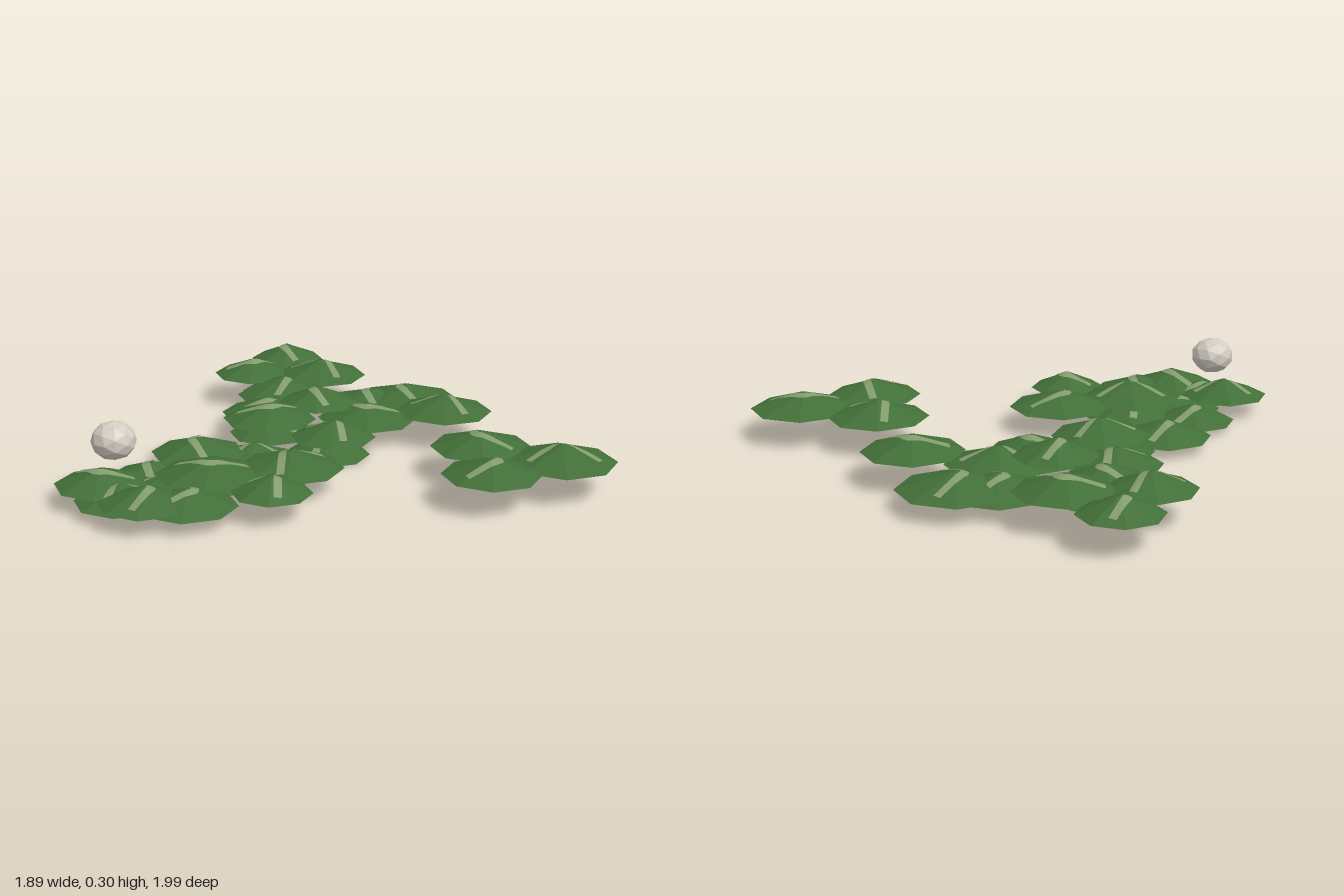
import * as THREE from 'three';

const leafGreen = new THREE.MeshStandardMaterial({ name: 'leafGreen', color: 0x426f38, flatShading: true, side: THREE.DoubleSide });
const veinGreen = new THREE.MeshStandardMaterial({ name: 'veinGreen', color: 0x829b6d, side: THREE.DoubleSide });
const pearlGrey = new THREE.MeshStandardMaterial({ name: 'pearlGrey', color: 0xd3ccc2, flatShading: true });

const RISE = 0.064;

// Layers of pads by rim height; each pad is x, z, radius, direction its vein opens towards (degrees)
const LAYERS = [
  { rim: 0.114, pads: [
    [0.43, 0.49, 0.19, 12], [0.24, 0.715, 0.18, -113], [0.535, 0.79, 0.2, 132],
    [0.4, -0.78, 0.16, -72], [0.65, -0.85, 0.15, 43], [0.6, -0.58, 0.185, 168],
    [0.635, 0.1, 0.187, 164], [0.34, -0.31, 0.155, 47], [0.06, -0.28, 0.18, -65]] },
  { rim: 0.087, pads: [
    [0.38, -0.57, 0.165, -150], [-0.46, 0, 0.2, -43], [-0.19, 0.13, 0.195, 80], [-0.41, 0.28, 0.145, 187]] },
  { rim: 0.069, pads: [
    [0.73, -0.2, 0.21, 48], [0.44, -0.13, 0.195, -30], [0.18, -0.45, 0.17, -90],
    [-0.775, 0.03, 0.17, -144], [-0.78, -0.22, 0.17, -30]] },
  { rim: 0.053, pads: [
    [0.62, -0.29, 0.2, 60], [0.22, -0.09, 0.165, 180], [0.42, -0.61, 0.19, 30], [-0.65, 0.11, 0.18, -110]] },
  { rim: 0.04, pads: [
    [-0.26, -0.32, 0.18, 50], [-0.4, -0.04, 0.18, 20], [-0.78, -0.1, 0.17, 90]] },
  { rim: 0.026, pads: [[-0.53, -0.25, 0.165, 60], [-0.6, -0.1, 0.19, 150]] },
  { rim: 0, pads: [[-0.08, -0.21, 0.17, 120], [0.17, -0.4, 0.165, 0], [0.17, -0.07, 0.165, 90]] },
];

// Height of an eight-sided cone above its rim
function coneHeight(x, z, r) {
  let d = 0;
  for (let k = 0; k < 8; k++) {
    const a = (k + 0.5) * Math.PI / 4;
    d = Math.max(d, x * Math.cos(a) + z * Math.sin(a));
  }
  return RISE * (1 - d / (r * Math.cos(Math.PI / 8)));
}

// Bent ribbon that follows the cone surface
function veinGeometry(r, degrees, lift) {
  const s = r / 0.19, bend = 0.96;
  const elbow = new THREE.Vector2(-0.035 * s, 0);
  const along = (length, sign) => new THREE.Vector2(
    elbow.x + length * Math.cos(bend), sign * length * Math.sin(bend));
  const path = new THREE.CurvePath();
  path.add(new THREE.LineCurve(along(0.15 * s, -1), along(0.02, -1)));
  path.add(new THREE.QuadraticBezierCurve(along(0.02, -1), elbow, along(0.02, 1)));
  path.add(new THREE.LineCurve(along(0.02, 1), along(0.15 * s, 1)));

  const steps = 24, across = 4, half = 0.0145, yaw = degrees * Math.PI / 180;
  const origin = new THREE.Vector2();
  const geo = new THREE.PlaneGeometry(1, 1, across, steps);
  const pos = geo.attributes.position;
  for (let i = 0; i <= steps; i++) {
    const p = path.getPointAt(i / steps), t = path.getTangentAt(i / steps);
    for (let j = 0; j <= across; j++) {
      const w = (2 * j / across - 1) * half;
      const q = new THREE.Vector2(p.x - t.y * w, p.y + t.x * w).rotateAround(origin, yaw);
      pos.setXYZ(i * (across + 1) + j, q.x, coneHeight(q.x, q.y, r) + lift, q.y);
    }
  }
  geo.computeVertexNormals();
  return geo;
}

function makePad(x, z, r, degrees, rim) {
  const pad = new THREE.Group();
  pad.name = 'lilyPad';
  const leaf = new THREE.Mesh(new THREE.ConeGeometry(r, RISE, 8, 1, true), leafGreen);
  leaf.name = 'padLeaf';
  leaf.position.y = RISE / 2;
  pad.add(leaf);
  // the vein shows on both faces of the leaf
  for (const [name, lift] of [['upperVein', 0.003], ['lowerVein', -0.003]]) {
    const vein = new THREE.Mesh(veinGeometry(r, degrees, lift), veinGreen);
    vein.name = name;
    pad.add(vein);
  }
  pad.position.set(x, rim, z);
  return pad;
}

export function createModel() {
  const model = new THREE.Group();
  model.name = 'lilyPadPatch';
  for (const { rim, pads } of LAYERS) {
    for (const [x, z, r, degrees] of pads) model.add(makePad(x, z, r, degrees, rim));
  }

  // slightly squashed ball above the left cluster
  const ball = new THREE.Mesh(new THREE.IcosahedronGeometry(0.082, 1), pearlGrey);
  ball.name = 'ball';
  ball.scale.y = 0.86;
  ball.position.set(-0.74, 0.234, -0.19);
  model.add(ball);
  return model;
}
